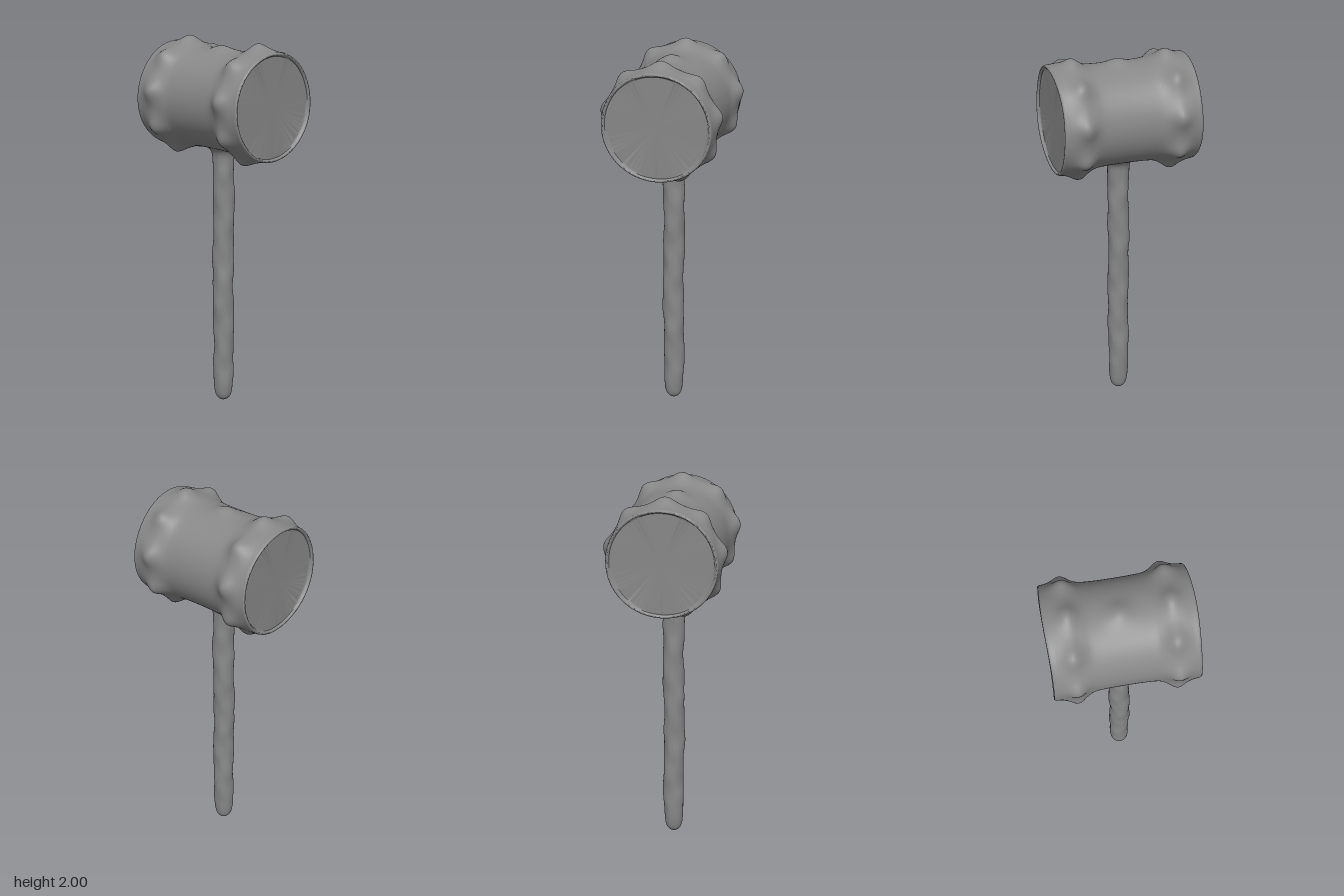
import * as THREE from 'three';
import { toCreasedNormals } from 'three/addons/utils/BufferGeometryUtils.js';

const HEAD_Y = 1.688;
const STUDS = 9;
const RING_X = 0.243;
const material = new THREE.MeshStandardMaterial({ color: 0x888888 });

const points = list => list.map(([r, h]) => new THREE.Vector2(r, h));
const bell = (d, width) => Math.exp(-((d / width) ** 2));

// Apply a rule to every vertex, then smooth all but the sharp edges
function reshape(geometry, rule) {
  const pos = geometry.attributes.position;
  const v = new THREE.Vector3();
  for (let i = 0; i < pos.count; i++) {
    rule(v.fromBufferAttribute(pos, i));
    pos.setXYZ(i, v.x, v.y, v.z);
  }
  return toCreasedNormals(geometry, 0.8);
}

// Waisted barrel lying along x, with recessed faces and a ring of soft studs near each end
function createHead() {
  const half = new THREE.SplineCurve(points([
    [0.259, 0], [0.26, 0.08], [0.264, 0.15], [0.274, 0.195],
    [0.285, 0.24], [0.284, 0.29], [0.28, 0.33], [0.279, 0.346],
  ])).getPoints(32);
  const rim = points([
    [0.277, 0.354], [0.273, 0.358], [0.268, 0.358], [0.264, 0.354],
    [0.261, 0.346], [0.258, 0.344], [0.25, 0.344], [0, 0.344],
  ]);
  const side = [...half, ...rim];
  const mirrored = side.slice(1).reverse().map(p => new THREE.Vector2(p.x, -p.y));
  const geometry = new THREE.LatheGeometry([...mirrored, ...side], 144);
  geometry.rotateZ(-Math.PI / 2);

  const step = (Math.PI * 2) / STUDS;
  return reshape(geometry, v => {
    const r = Math.hypot(v.y, v.z);
    if (r < 0.2585) return;
    const angle = Math.atan2(v.z, v.y);
    const offset = angle - Math.round(angle / step) * step;
    const stud = 0.029 * bell(Math.abs(v.x) - RING_X, 0.05) * bell(offset, 0.18);
    // Swelling on top where the handle end shows through
    const swelling = v.y > 0 ? 0.024 * bell(v.x, 0.06) * bell(v.z - 0.015, 0.055) : 0;
    const scale = 1 + (stud + swelling) / r;
    // Slightly uneven rims
    const end = THREE.MathUtils.smoothstep(Math.abs(v.x), 0.3, 0.35);
    v.x += 0.003 * end * Math.sin(angle * 3 + v.x * 4);
    v.y *= scale;
    v.z *= scale * 1.008;
  });
}

// Hand-carved stick: round butt, uneven shaft, flare where it meets the head
function createHandle() {
  const profile = new THREE.SplineCurve(points([
    [0, 0.006], [0.022, 0.012], [0.041, 0.036], [0.05, 0.08], [0.054, 0.16], [0.055, 0.3], [0.056, 0.5],
    [0.056, 0.75], [0.056, 1.0], [0.056, 1.25], [0.057, 1.36], [0.06, 1.4], [0.07, 1.425], [0.082, 1.437], [0.09, 1.46],
  ])).getPoints(180);
  const geometry = new THREE.LatheGeometry(profile, 40);
  return reshape(geometry, v => {
    const angle = Math.atan2(v.z, v.x);
    const y = v.y;
    const fade = THREE.MathUtils.smoothstep(y, 0.03, 0.25) * (1 - THREE.MathUtils.smoothstep(y, 1.25, 1.4));
    const carve = 0.04 * Math.sin(y * 19 + angle * 2)
      + 0.025 * Math.sin(y * 31 - angle * 3 + 1)
      + 0.015 * Math.sin(y * 42 + angle + 2);
    v.x = v.x * (1 + carve * fade) - 0.002 * fade * Math.sin(y * 9);
    v.z = v.z * (1 + carve * fade) + 0.003 * fade * Math.cos(y * 8 + 1);
  });
}

export function createModel() {
  const group = new THREE.Group();
  group.name = 'mallet';

  const head = new THREE.Mesh(createHead(), material);
  head.name = 'head';
  head.position.y = HEAD_Y;

  const handle = new THREE.Mesh(createHandle(), material);
  handle.name = 'handle';

  group.add(head, handle);
  return group;
}
